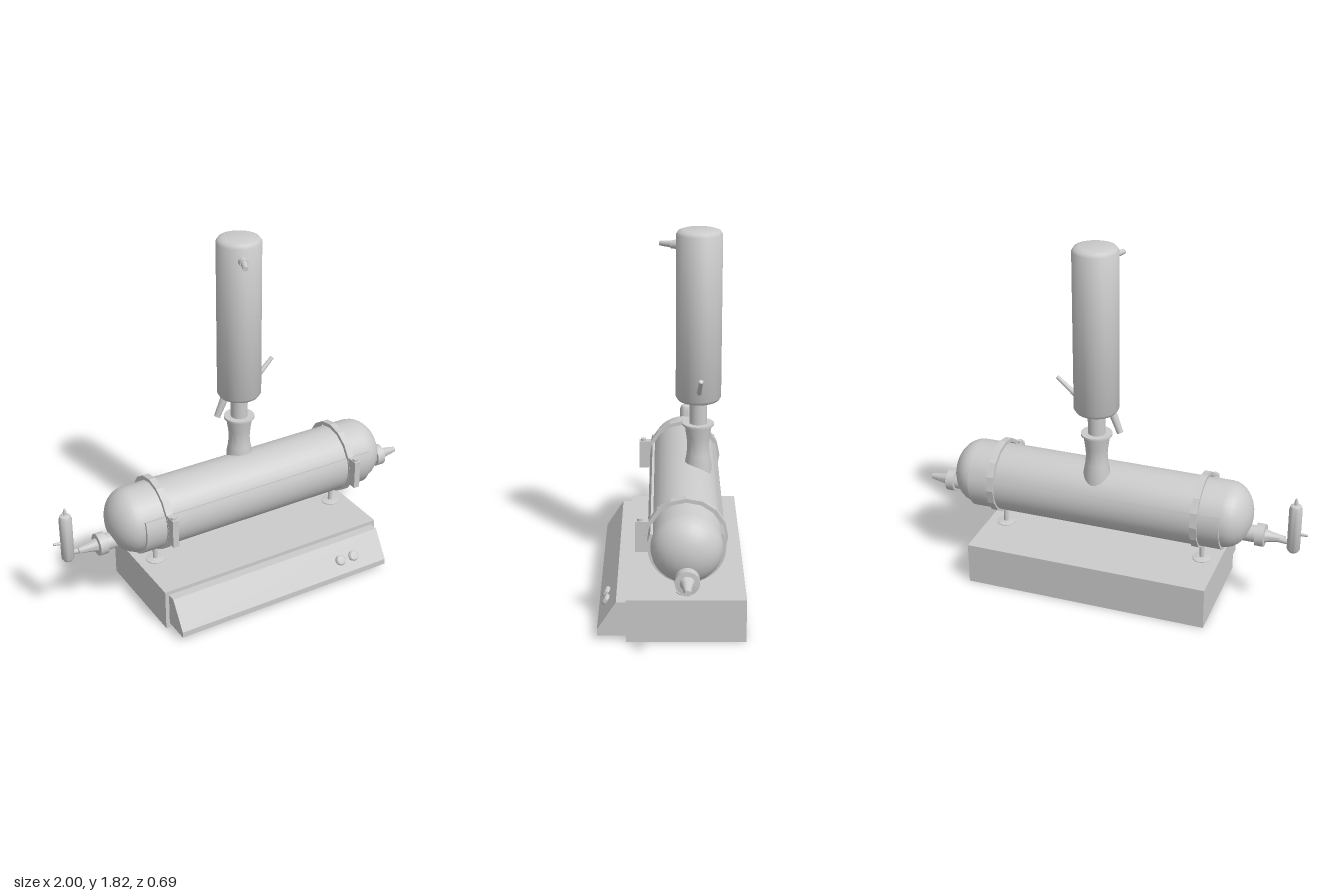
import * as THREE from 'three';
import { toCreasedNormals } from 'three/addons/utils/BufferGeometryUtils.js';

const TANK = { x: 0.057, y: 0.497, z: -0.066, r: 0.165 };

export function createModel() {
  const model = new THREE.Group();
  const material = new THREE.MeshStandardMaterial({ color: 0xcccccc });

  const add = (name, geometry, x = 0, y = 0, z = 0) => {
    const mesh = new THREE.Mesh(geometry, material);
    mesh.name = name;
    mesh.position.set(x, y, z);
    model.add(mesh);
    return mesh;
  };

  // Solid of revolution around y from [radius, height] pairs, bottom to top
  const turned = (profile, sides = 32) => toCreasedNormals(
    new THREE.LatheGeometry(profile.map(([r, h]) => new THREE.Vector2(r, h)), sides), 0.7);

  // Tapered rod between two points
  const rod = (name, from, to, r0, r1, sides = 16) => {
    const a = new THREE.Vector3(...from), b = new THREE.Vector3(...to);
    const dir = b.clone().sub(a);
    const mesh = add(name, new THREE.CylinderGeometry(r1, r0, dir.length(), sides));
    mesh.position.copy(a).add(b).multiplyScalar(0.5);
    mesh.quaternion.setFromUnitVectors(new THREE.Vector3(0, 1, 0), dir.normalize());
    return mesh;
  };

  // Extrudes a z-y outline along x, centred on its length
  const alongX = (shape, length, curveSegments) => {
    const g = new THREE.ExtrudeGeometry(shape, { depth: length, bevelEnabled: false, curveSegments });
    return toCreasedNormals(g.translate(0, 0, -length / 2).rotateY(Math.PI / 2), 0.35);
  };

  // Base cabinet with sloping control panel
  add('base', new THREE.BoxGeometry(1.245, 0.215, 0.56), 0.057, 0.1075, -0.065);
  const panel = new THREE.Shape([[-0.21, 0.025], [-0.21, 0.195], [-0.26, 0.195], [-0.35, 0.055], [-0.35, 0.025]]
    .map(([z, y]) => new THREE.Vector2(z, y)));
  add('controlPanel', alongX(panel, 1.205, 1), 0.057);
  for (const x of [0.4, 0.48]) {
    const knob = add('knob', turned([[0.026, -0.005], [0.028, 0.01], [0.022, 0.018], [0, 0.021]], 20), x, 0.117, 0.31);
    knob.rotation.x = Math.atan2(0.14, 0.09);
  }

  // Horizontal tank with domed ends
  const half = 0.655, dome = 0.125, tankProfile = [];
  for (let i = 0; i <= 8; i++) {
    const t = (i / 8) * Math.PI / 2;
    tankProfile.push([TANK.r * Math.sin(t), -half - dome * Math.cos(t)]);
  }
  const otherEnd = tankProfile.map(([r, h]) => [r, -h]).reverse();
  add('tank', turned([...tankProfile, ...otherEnd], 32).rotateZ(-Math.PI / 2), TANK.x, TANK.y, TANK.z);

  // Heating jacket wrapped around the lower part of the tank
  const lip = 0.39, jacket = new THREE.Shape();
  jacket.absarc(0, 0, 0.178, Math.PI - lip, 2 * Math.PI + lip, false);
  jacket.absarc(0, 0, 0.162, 2 * Math.PI + lip, Math.PI - lip, true);
  jacket.closePath();
  add('heatingJacket', alongX(jacket, 1.31, 16), TANK.x, TANK.y, TANK.z);

  // Clamp bands with latches, posts and feet
  for (const x of [-0.473, 0.587]) {
    const band = new THREE.Shape().absarc(0, 0, 0.191, 0, Math.PI * 2, false);
    band.holes.push(new THREE.Path().absarc(0, 0, 0.172, 0, Math.PI * 2, true));
    add('clampBand', alongX(band, 0.034, 8), x, TANK.y, TANK.z);
    add('clampLatch', new THREE.BoxGeometry(0.032, 0.15, 0.065), x, 0.5, 0.137);
    rod('latchBolt', [x, 0.565, 0.147], [x, 0.587, 0.147], 0.014, 0.014);
    rod('post', [x, 0.21, TANK.z], [x, 0.325, TANK.z], 0.012, 0.012);
    add('foot', turned([[0.047, 0], [0.047, 0.006], [0.02, 0.012], [0, 0.012]], 24), x, 0.213, TANK.z);
  }

  // End fittings, mirrored about the middle of the tank
  for (const side of [-1, 1]) {
    const fitting = turned([[0.042, 0.64], [0.042, 0.8], [0.056, 0.802], [0.056, 0.845],
      [0.034, 0.847], [0.026, 0.87], [0.014, 0.942], [0, 0.942]], 24);
    add(side < 0 ? 'rightEndFitting' : 'leftEndFitting', fitting.rotateZ(-side * Math.PI / 2), TANK.x, 0.41, TANK.z);
  }
  rod('receiverInlet', [-0.84, 0.408, -0.068], [-0.935, 0.402, -0.083], 0.017, 0.009);

  // Small receiver with tip and side outlet
  add('receiver', turned([[0, 0.36], [0.022, 0.363], [0.032, 0.378], [0.032, 0.598],
    [0.026, 0.616], [0.009, 0.624], [0.009, 0.636], [0.004, 0.656], [0, 0.656]], 24), -0.933, 0, -0.085);
  rod('receiverOutlet', [-0.96, 0.466, -0.089], [-1.0, 0.468, -0.094], 0.008, 0.006);

  // Waisted joint on top of the tank
  add('columnJoint', turned([[0.066, 0.56], [0.066, 0.65], [0.057, 0.7], [0.053, 0.745], [0.057, 0.79],
    [0.066, 0.848], [0.077, 0.852], [0.077, 0.862], [0, 0.862]]), 0.057, 0, -0.13);

  // Neck and tall condenser
  rod('neck', [0.057, 0.85, -0.13], [0.057, 0.99, -0.13], 0.043, 0.043, 24);
  add('condenser', turned([[0, 0.978], [0.085, 0.978], [0.1, 0.984], [0.11, 1.0], [0.11, 1.793],
    [0.1, 1.808], [0.08, 1.815], [0, 1.815]], 40), 0.057, 0, -0.13);

  // Hose nozzles on the condenser
  rod('topNozzleBase', [0.025, 1.735, -0.05], [0.009, 1.735, 0], 0.024, 0.02);
  rod('topNozzle', [0.009, 1.735, 0], [-0.018, 1.735, 0.055], 0.017, 0.012);
  rod('sideNozzle', [0.14, 1.03, -0.13], [0.253, 1.133, -0.138], 0.014, 0.01);
  rod('drainNozzle', [-0.015, 1.01, -0.13], [-0.066, 0.886, -0.137], 0.021, 0.016);

  return model;
}
